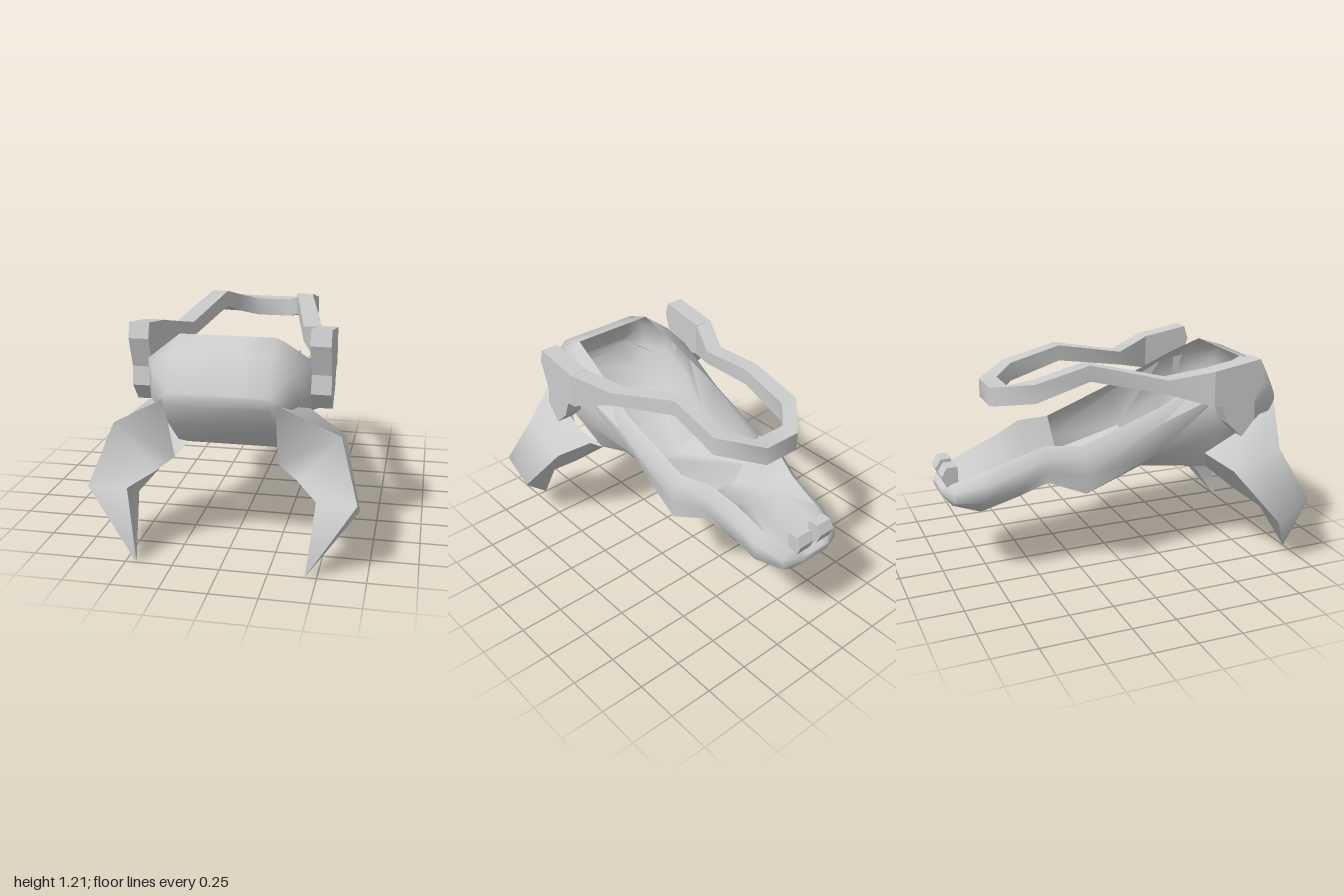
import * as THREE from 'three';
import { toCreasedNormals } from 'three/addons/utils/BufferGeometryUtils.js';

const material = new THREE.MeshStandardMaterial({ color: 0xcccccc, side: THREE.DoubleSide });

// Mesh from a list of triangles, smooth except at sharp edges
function meshFrom(name, tris, crease) {
  const g = new THREE.BufferGeometry();
  g.setAttribute('position', new THREE.Float32BufferAttribute(tris.flat(2), 3));
  const m = new THREE.Mesh(toCreasedNormals(g, crease), material);
  m.name = name;
  return m;
}

const quad = (a, b, c, d) => [[a, b, c], [a, c, d]];
const flip = ([x, y, z]) => [-x, y, z];

// Skin between closed rings of points
function loft(rings) {
  const tris = [];
  for (let i = 0; i + 1 < rings.length; i++) {
    const a = rings[i], b = rings[i + 1], n = a.length;
    for (let j = 0; j < n; j++) {
      const k = (j + 1) % n;
      tris.push(...quad(a[j], a[k], b[k], b[j]));
    }
  }
  return tris;
}

// Plate cut from a (z, y) outline, spanning x0..x1
function plate(name, outline, x0, x1) {
  const shape = new THREE.Shape(outline.map(([z, y]) => new THREE.Vector2(-z, y)));
  const g = new THREE.ExtrudeGeometry(shape, { depth: x1 - x0, bevelEnabled: false });
  g.rotateY(Math.PI / 2).translate(x0, 0, 0);
  const m = new THREE.Mesh(g, material);
  m.name = name;
  return m;
}

// Hull stations: z, then half section [x, y] for rim, shoulder, flank, keel edge
// and, where the top is closed, the deck
const STATIONS = [
  [0.98, [0.25, 0.92], [0.27, 0.91], [0.27, 0.88], [0.25, 0.86], [0.1, 0.92]],
  [0.9, [0.25, 1.11], [0.35, 1.01], [0.36, 0.87], [0.26, 0.74], [0.1, 1.11]],
  [0.74, [0.25, 1.165], [0.42, 1.03], [0.415, 0.87], [0.27, 0.6], [0.1, 1.165]],
  [0.55, [0.27, 1.09], [0.41, 1.0], [0.41, 0.78], [0.27, 0.52], null],
  [0.21, [0.31, 0.93], [0.37, 0.86], [0.29, 0.65], [0.06, 0.5], null],
  [-0.25, [0.3, 0.76], [0.34, 0.71], [0.36, 0.6], [0.36, 0.5], [0.1, 0.52]],
  [-0.45, [0.25, 0.77], [0.3, 0.71], [0.3, 0.63], [0.29, 0.57], [0.1, 0.59]],
  [-0.6, [0.21, 0.71], [0.265, 0.64], [0.265, 0.55], [0.23, 0.49], [0.1, 0.645]],
  [-0.8, [0.19, 0.635], [0.255, 0.58], [0.255, 0.49], [0.155, 0.4], [0.1, 0.61]],
  [-0.95, [0.15, 0.575], [0.205, 0.55], [0.205, 0.49], [0.13, 0.45], [0.1, 0.57]],
  [-1.0, [0.08, 0.54], [0.1, 0.53], [0.1, 0.515], [0.08, 0.505], [0.05, 0.54]],
];
const ROWS = STATIONS.map(([z, ...pts]) => pts.map((p) => p && [p[0], p[1], z]));
const POCKET = 4; // station where the recessed side panel begins

function buildHull() {
  const tris = [];
  const both = (list) => list.forEach((t) => tris.push(t, t.map(flip).reverse()));
  for (let i = 0; i + 1 < ROWS.length; i++) {
    const a = ROWS[i], b = ROWS[i + 1];
    // sides; the recessed panel takes the lower half of its strip
    both(quad(a[0], a[1], b[1], b[0]));
    both(quad(a[1], a[2], b[2], b[1]));
    both(i === POCKET ? [[a[2], b[3], b[2]]] : quad(a[2], a[3], b[3], b[2]));
    // belly
    tris.push(...quad(a[3], flip(a[3]), flip(b[3]), b[3]));
    // deck in front of and behind the open cockpit
    if (a[4] && b[4]) {
      both(quad(a[4], a[0], b[0], b[4]));
      tris.push(...quad(flip(a[4]), a[4], b[4], flip(b[4])));
    }
  }
  // nose and tail ends
  ROWS.filter((r, i) => i === 0 || i === ROWS.length - 1).forEach((r, end) => {
    for (let j = 0; j < 3; j++) {
      const q = quad(r[j], flip(r[j]), flip(r[j + 1]), r[j + 1]);
      tris.push(...(end ? q.map((t) => [...t].reverse()) : q));
    }
  });
  return meshFrom('hull', tris, 1.15);
}

// Recessed triangular panel in the lower side of the hull
function buildPanel() {
  return meshFrom('recessedPanel', [[ROWS[POCKET][2], ROWS[POCKET][3], ROWS[POCKET + 1][3]]], 0.1);
}

// Claw leg rings: outer front, outer middle, outer back, inner back, inner front
function buildLeg() {
  const tip = [0.44, 0, 1];
  return meshFrom('clawLeg', loft([
    [[0.28, 0.89, 0.97], [0.42, 0.81, 0.74], [0.42, 0.665, 0.445], [0.27, 0.52, 0.54], [0.27, 0.53, 0.82]],
    [[0.59, 0.7, 0.83], [0.6, 0.66, 0.69], [0.59, 0.6, 0.54], [0.39, 0.41, 0.66], [0.37, 0.45, 0.83]],
    [[0.69, 0.4, 0.98], [0.69, 0.35, 0.89], [0.69, 0.29, 0.79], [0.48, 0.31, 0.79], [0.485, 0.4, 0.97]],
    [tip, tip, tip, tip, tip],
  ]).filter(([a, b, c]) => a !== b && b !== c && a !== c), 1.2);
}

// Handle stations: inner [x, z], outer [x, z], bottom y, top y
function buildHandle() {
  const half = [
    [[0.415, 0.45], [0.52, 0.44], 0.965, 1.165],
    [[0.31, 0.23], [0.41, 0.22], 1.03, 1.11],
    [[0.21, -0.2], [0.3, -0.2], 1.12, 1.21],
    [[0.2, -0.5], [0.3, -0.51], 1.03, 1.135],
    [[0.1, -0.61], [0.11, -0.71], 0.985, 1.09],
  ].map(([n, o, y0, y1]) => [
    [n[0], y0, n[1]], [n[0], y1, n[1]], [o[0], y1, o[1]], [o[0], y0, o[1]],
  ]);
  const other = half.map((r) => r.map(flip)).reverse();
  return meshFrom('handleLoop', loft([...half, ...other]), 0.85);
}

export function createModel() {
  const model = new THREE.Group();
  model.name = 'clawedCraft';
  model.add(buildHull(), buildHandle());

  for (const s of [1, -1]) {
    const side = new THREE.Group();
    side.name = s > 0 ? 'leftSide' : 'rightSide';
    side.scale.x = s;
    side.add(
      buildLeg(),
      buildPanel(),
      // blade at the front end of the handle
      plate('handleBlade', [
        [0.44, 1.165], [0.72, 1.21], [0.745, 1.13], [0.69, 0.97], [0.7, 0.87],
        [0.62, 0.775], [0.53, 0.86], [0.49, 0.96], [0.44, 0.97],
      ], 0.415, 0.52),
      // small stub on the tail
      plate('tailStub', [
        [-0.91, 0.67], [-0.97, 0.67], [-1, 0.62], [-0.975, 0.56], [-0.91, 0.58],
      ], 0.025, 0.125),
    );
    model.add(side);
  }
  return model;
}
